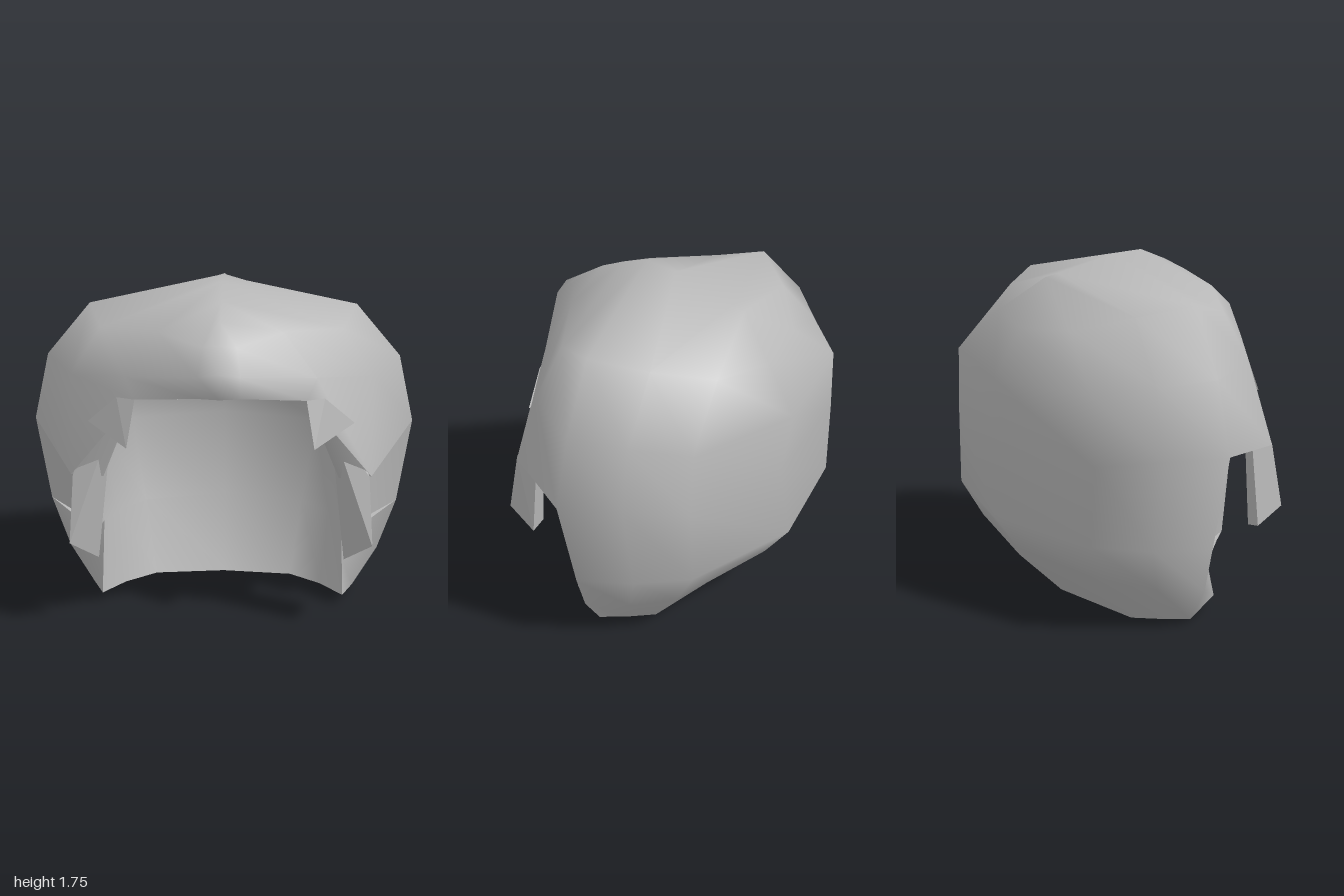
import * as THREE from 'three';
import { mergeVertices } from 'three/addons/utils/BufferGeometryUtils.js';
import { ConvexGeometry } from 'three/addons/geometries/ConvexGeometry.js';

const hairGrey = new THREE.MeshStandardMaterial({ color: 0xb8b8b8, side: THREE.DoubleSide });
hairGrey.name = 'hairGrey';

const mirror = (p) => p && [-p[0], p[1], p[2]];

// Smooth surface through a grid of points; null points and skipped cells leave gaps
function surface(rows, closed = false, skip = () => false) {
  const points = [];
  const add = (...t) => {
    if (t.every(Boolean) && new Set(t.map(String)).size === 3) points.push(...t);
  };
  const n = rows[0].length;
  for (let r = 0; r < rows.length - 1; r++) {
    for (let j = 0; j < (closed ? n : n - 1); j++) {
      if (skip(r, j)) continue;
      const k = (j + 1) % n;
      const [a, b, c, d] = [rows[r][j], rows[r][k], rows[r + 1][j], rows[r + 1][k]];
      if (!a || !b || !c || !d) continue;
      add(a, b, c);
      add(b, d, c);
    }
  }
  const soup = new THREE.BufferGeometry();
  soup.setAttribute('position', new THREE.Float32BufferAttribute(points.flat(), 3));
  const geometry = mergeVertices(soup, 1e-4);
  geometry.computeVertexNormals();
  return geometry;
}

// Outer half rows, from back centre round the left side to front centre
const OUTER = [
  [[0, 1.68, -0.42], [0, 1.68, -0.42], [0, 1.69, -0.35], [0, 1.75, 0], [0, 1.755, 0.18], [0, 1.69, 0.34], [0, 1.62, 0.48], [0, 1.62, 0.48]],
  [[0, 1.45, -0.575], [0.3, 1.48, -0.5], [0.52, 1.55, -0.28], [0.68, 1.6, -0.04], [0.6, 1.53, 0.2], [0.3, 1.56, 0.42], [0.08, 1.53, 0.6], [0, 1.54, 0.6]],
  [[0, 1.22, -0.73], [0.57, 1.24, -0.58], [0.75, 1.27, -0.34], [0.92, 1.31, -0.12], [0.75, 1.3, 0.24], [0.46, 1.35, 0.46], [0.1, 1.42, 0.72], [0, 1.44, 0.75]],
  [[0, 0.87, -0.68], [0.59, 0.9, -0.58], [0.8, 0.93, -0.34], [1, 0.96, -0.11], [0.74, 0.84, 0.43], [0.41, 1.25, 0.51], [0.1, 1.31, 0.69], [0, 1.31, 0.71]],
  [[0, 0.51, -0.75], [0.58, 0.5, -0.59], [0.78, 0.49, -0.38], [0.94, 0.49, -0.15], [0.63, 0.44, 0.06], null, null, null],
  [[0, 0.3, -0.61], [0.56, 0.28, -0.47], [0.72, 0.25, -0.3], [0.84, 0.23, -0.1], [0.635, 0.25, 0.1], null, null, null],
  [[0, 0, -0.35], [0.5, 0.01, -0.28], [0.62, 0.015, -0.17], [0.71, 0.02, -0.07], [0.64, 0.06, 0.15], null, null, null],
];

// Inner half rows, from the left edge of the opening to back centre
const INNER = [
  [[0.41, 1.25, 0.51], [0.25, 1.28, 0.6], [0.1, 1.31, 0.69], [0, 1.31, 0.71]],
  [[0.41, 1.25, 0.51], [0.48, 1.36, 0.2], [0.35, 1.43, 0], [0, 1.46, -0.08]],
  [[0.53, 1.13, 0.42], [0.6, 1.18, 0], [0.48, 1.2, -0.25], [0, 1.2, -0.4]],
  [[0.7, 0.91, 0.165], [0.64, 0.9, -0.05], [0.5, 0.9, -0.3], [0, 0.9, -0.44]],
  [[0.63, 0.44, 0.06], [0.57, 0.44, -0.08], [0.43, 0.44, -0.25], [0, 0.44, -0.36]],
  [[0.64, 0.06, 0.15], [0.53, 0.055, 0], [0.37, 0.05, -0.13], [0, 0.045, -0.18]],
];

export function createModel() {
  const group = new THREE.Group();
  group.name = 'hair';
  const add = (name, geometry) => {
    const mesh = new THREE.Mesh(geometry, hairGrey);
    mesh.name = name;
    group.add(mesh);
  };
  const bothSides = (half) => [...half, ...half.slice(0, -1).reverse().map(mirror)];

  // Outer cap, open at the face and over the ears
  const cap = OUTER.map((h) => [...h, ...h.slice(1, -1).reverse().map(mirror)]);
  add('hairCap', surface(cap, true, (r, j) => r === 3 && (j === 3 || j === 10)));

  // Hollow inside and the underside joining it to the cap
  add('innerHollow', surface(INNER.map(bothSides)));
  const [corner, ...floor] = INNER[5];
  const hem = [OUTER[6].slice(0, 5).reverse(), [corner, corner, ...floor]];
  add('bottomHem', surface(hem.map(bothSides)));

  // Side parts, made once and mirrored
  const panels = {
    earPanel: [[[1, 0.96, -0.11], [0.83, 0.93, 0.01], [0.72, 0.91, 0.165]],
      [[0.94, 0.49, -0.15], [0.78, 0.46, 0], [0.67, 0.42, 0.165]]],
    earOverhang: [[[1, 0.96, -0.11], [0.74, 0.84, 0.43]], [[0.72, 0.91, 0.165], [0.6, 0.83, 0.4]]],
    earLedge: [[[0.94, 0.49, -0.15], [0.8, 0.455, 0.01], [0.67, 0.42, 0.165]],
      [[0.94, 0.49, -0.15], [0.77, 0.46, -0.04], [0.63, 0.44, 0.06]]],
    earPanelEdge: [[[0.72, 0.91, 0.165], [0.67, 0.42, 0.165]], [[0.7, 0.91, 0.165], [0.63, 0.44, 0.06]]],
    templePanel: [[[0.74, 0.84, 0.43], [0.41, 1.25, 0.51]], [[0.58, 0.83, 0.43], [0.53, 1.13, 0.42]]],
  };
  const locks = {
    sideLock: [[0.53, 1.12, 0.42], [0.66, 1.04, 0.39], [0.58, 0.8, 0.41], [0.73, 0.84, 0.44],
      [0.72, 0.86, 0.31], [0.62, 0.38, 0.4], [0.75, 0.5, 0.505], [0.77, 0.44, 0.32]],
    templeTuft: [[0.41, 1.25, 0.51], [0.45, 1.02, 0.56], [0.52, 1.12, 0.42],
      [0.65, 1.11, 0.41], [0.5, 1.25, 0.47]],
  };
  for (const [side, place] of [['left', (p) => p], ['right', mirror]]) {
    for (const [name, grid] of Object.entries(panels)) {
      add(side + '_' + name, surface(grid.map((r) => r.map(place))));
    }
    for (const [name, pts] of Object.entries(locks)) {
      add(side + '_' + name, new ConvexGeometry(pts.map((p) => new THREE.Vector3(...place(p)))));
    }
  }
  return group;
}
